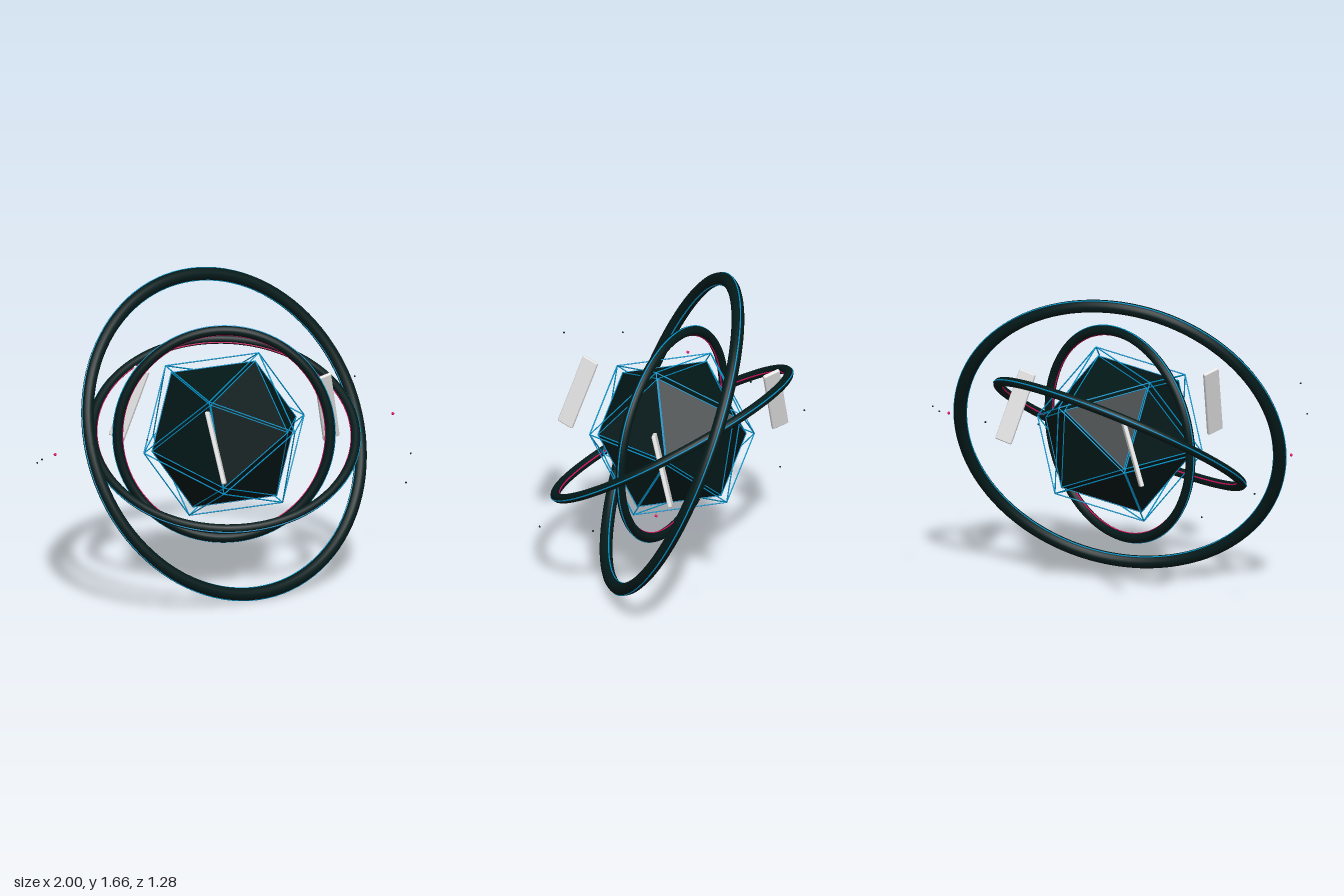
import * as THREE from 'three';
import { RoundedBoxGeometry } from 'three/addons/geometries/RoundedBoxGeometry.js';

const V = (x, y, z) => new THREE.Vector3(x, y, z);

function material(name, color) {
  const m = new THREE.MeshStandardMaterial({ color });
  m.name = name;
  return m;
}

export function createModel() {
  const darkShell = material('dark shell', 0x041a1a);
  const darkCore = material('dark core', 0x031717);
  darkCore.flatShading = true;
  const blue = material('blue trim', 0x0094cc);
  const pink = material('pink trim', 0xff0f6e);
  const pale = material('pale panel', 0xe6e6e6);

  const model = new THREE.Group();
  model.name = 'orbitalCore';
  const hub = new THREE.Group();
  hub.name = 'hub';
  hub.position.y = 0.83;
  model.add(hub);

  function add(parent, name, geometry, mat) {
    const mesh = new THREE.Mesh(geometry, mat);
    mesh.name = name;
    parent.add(mesh);
    return mesh;
  }

  // Thin rod between two points
  function rod(parent, name, a, b, radius, mat) {
    const mesh = add(parent, name, new THREE.CylinderGeometry(radius, radius, a.distanceTo(b), 6), mat);
    mesh.position.copy(a).add(b).multiplyScalar(0.5);
    mesh.quaternion.setFromUnitVectors(V(0, 1, 0), b.clone().sub(a).normalize());
  }

  // Icosahedron corners: a pole, five corners around it, and their opposites
  const phi = (1 + Math.sqrt(5)) / 2;
  const top = V(0.17, 0.44, 0.07).normalize();
  const side = V(0.476, 0.051, -0.008);
  side.addScaledVector(top, -side.dot(top)).normalize();
  const third = new THREE.Vector3().crossVectors(side, top);
  const c = 1 / Math.sqrt(5), s = 2 / Math.sqrt(5);
  const corners = [top];
  for (let i = 0; i < 5; i++) {
    const a = (i * 2 * Math.PI) / 5;
    corners.push(top.clone().multiplyScalar(c)
      .addScaledVector(side, s * Math.cos(a))
      .addScaledVector(third, s * Math.sin(a)));
  }
  corners.push(...corners.map((p) => p.clone().negate()));

  const edges = [];
  for (let i = 0; i < 12; i++) {
    for (let j = i + 1; j < 12; j++) {
      if (corners[i].dot(corners[j]) > 0.3) edges.push([corners[i], corners[j]]);
    }
  }

  // Solid core: turn the stock icosahedron onto the same axes
  const coreGeometry = new THREE.IcosahedronGeometry(0.428, 0);
  const u = V(0, 1, phi).normalize();
  const v = V(0, -1, phi).normalize();
  v.addScaledVector(u, -v.dot(u)).normalize();
  const from = new THREE.Matrix4().makeBasis(u, v, new THREE.Vector3().crossVectors(u, v));
  const to = new THREE.Matrix4().makeBasis(top, side, new THREE.Vector3().crossVectors(top, side));
  coreGeometry.applyMatrix4(to.multiply(from.transpose()));
  add(hub, 'core', coreGeometry, darkCore);

  // Seams on the core and the open cage around it
  const seams = new THREE.Group();
  seams.name = 'coreSeams';
  const cage = new THREE.Group();
  cage.name = 'cage';
  hub.add(seams, cage);
  for (const [a, b] of edges) {
    const at = (p, r) => p.clone().multiplyScalar(r);
    rod(seams, 'coreSeam', at(a, 0.429), at(b, 0.429), 0.003, blue);
    rod(cage, 'cageStrut', at(a, 0.477), at(b, 0.477), 0.0035, blue);
  }

  // Tilted rings with fine trim on the outer and inner rims
  const rings = [
    ['outerRing', 0.864, 0.034, V(0.173, 0.392, 0.904), blue],
    ['middleRing', 0.697, 0.025, V(-0.2, 0.851, 0.484), pink],
    ['innerRing', 0.562, 0.026, V(-0.41, 0.02, 0.91), pink],
  ];
  for (const [name, radius, tube, normal, innerTrim] of rings) {
    const ring = new THREE.Group();
    ring.name = name;
    ring.quaternion.setFromUnitVectors(V(0, 0, 1), normal.normalize());
    add(ring, name + 'Body', new THREE.TorusGeometry(radius, tube, 16, 100), darkShell);
    add(ring, name + 'OuterTrim', new THREE.TorusGeometry(radius + tube - 0.001, 0.004, 6, 100), blue);
    add(ring, name + 'InnerTrim', new THREE.TorusGeometry(radius - tube + 0.001, 0.004, 6, 100), innerTrim);
    hub.add(ring);
  }

  // Three leaning panels spaced evenly around the core
  const up = V(-0.1, 0.377, 0.1).normalize();
  const across = V(0.975, 0.22, 0);
  across.addScaledVector(up, -across.dot(up)).normalize();
  const lean = new THREE.Matrix4().makeBasis(across, up, new THREE.Vector3().crossVectors(across, up));
  for (let i = 0; i < 3; i++) {
    const arm = new THREE.Group();
    arm.name = 'panelArm';
    arm.rotation.y = (i * 2 * Math.PI) / 3;
    const panel = add(arm, 'panel', new RoundedBoxGeometry(0.095, 0.395, 0.022, 2, 0.007), pale);
    panel.quaternion.setFromRotationMatrix(lean);
    panel.position.set(0.605, 0.08, 0);
    hub.add(arm);
  }

  // Tiny beads on a waving orbit, pink at both ends
  for (const degrees of [-40, -20, 0, 20, 40, 140, 160, 180, 200, 220]) {
    const a = THREE.MathUtils.degToRad(degrees);
    const end = degrees % 180 === 0;
    const bead = add(hub, end ? 'endBead' : 'bead',
      new THREE.SphereGeometry(end ? 0.008 : 0.005, 10, 8), end ? pink : darkShell);
    bead.position.set(0.992 * Math.cos(a), -0.205 * Math.sin(2 * a), 0.992 * Math.sin(a));
  }

  return model;
}
